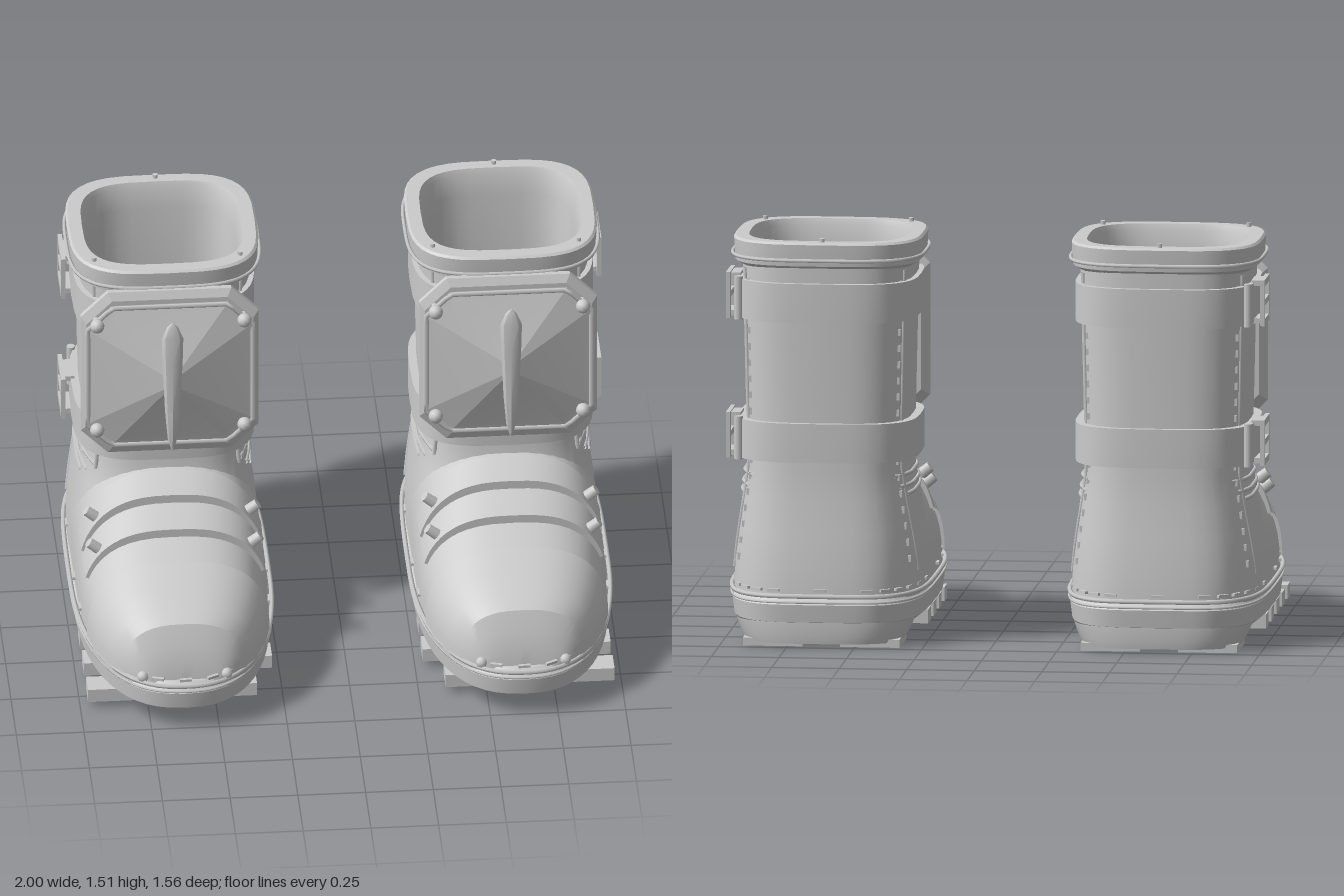
import * as THREE from 'three';
import { toCreasedNormals } from 'three/addons/utils/BufferGeometryUtils.js';

const grey = new THREE.MeshStandardMaterial({ color: 0xcccccc, side: THREE.DoubleSide });
const V = (x, y, z) => new THREE.Vector3(x, y, z);
const pw = (v, e) => Math.sign(v) * Math.abs(v) ** e;

function add(parent, name, geometry, x = 0, y = 0, z = 0) {
  const mesh = new THREE.Mesh(geometry, grey);
  mesh.name = name;
  mesh.position.set(x, y, z);
  parent.add(mesh);
  return mesh;
}

// Skin a list of cross-sections; closed rings or open arches, with optional end caps
function loft(rings, { closed = true, start = false, end = false, hub = null, crease = 0.5 } = {}) {
  const n = rings[0].length, pos = [], idx = [];
  rings.forEach(r => r.forEach(p => pos.push(p.x, p.y, p.z)));
  const m = closed ? n : n - 1;
  for (let j = 0; j < rings.length - 1; j++)
    for (let i = 0; i < m; i++) {
      const a = j * n + i, b = j * n + (i + 1) % n;
      idx.push(a, b, b + n, a, b + n, a + n);
    }
  const cap = (j, flip) => {
    const c = V(0, 0, 0);
    rings[j].forEach(p => c.addScaledVector(p, 1 / n));
    if (hub !== null) c.set(0, hub, rings[j][0].z);
    const k = pos.length / 3;
    pos.push(c.x, c.y, c.z);
    for (let i = 0; i < m; i++) {
      const a = j * n + i, b = j * n + (i + 1) % n;
      idx.push(k, flip ? b : a, flip ? a : b);
    }
  };
  if (start) cap(0, true);
  if (end) cap(rings.length - 1, false);
  const g = new THREE.BufferGeometry();
  g.setAttribute('position', new THREE.Float32BufferAttribute(pos, 3));
  g.setIndex(idx);
  return toCreasedNormals(g, crease);
}

// Rounded-square horizontal ring
function ring(y, hx, z0, z1, n = 3.4, segs = 40) {
  return Array.from({ length: segs }, (_, i) => {
    const t = i / segs * Math.PI * 2;
    return V(hx * pw(Math.cos(t), 2 / n), y, (z0 + z1) / 2 - (z1 - z0) / 2 * pw(Math.sin(t), 2 / n));
  });
}

// Foot outline: rounded toe, squarer heel
function footRing(y, inset, segs = 56) {
  return Array.from({ length: segs }, (_, i) => {
    const t = i / segs * Math.PI * 2, s = -Math.sin(t), e = 2 / (s > 0 ? 2.4 : 4.2);
    return V((0.367 - inset) * pw(Math.cos(t), e), y, (0.772 - inset) * pw(s, e));
  });
}

// Shaft and ankle sections: y, half width, back z, front z
const BODY = [[0.18, 0.352, -0.74, 0.14], [0.3, 0.348, -0.732, 0.1], [0.42, 0.335, -0.715, 0.05],
  [0.54, 0.318, -0.7, -0.01], [0.65, 0.302, -0.69, -0.045], [0.85, 0.305, -0.688, -0.05],
  [1.15, 0.312, -0.688, -0.05], [1.42, 0.318, -0.69, -0.045]];
function bodyAt(y) {
  let k = 0;
  while (k < BODY.length - 2 && y > BODY[k + 1][0]) k++;
  const f = (y - BODY[k][0]) / (BODY[k + 1][0] - BODY[k][0]);
  return BODY[k].map((v, i) => THREE.MathUtils.lerp(v, BODY[k + 1][i], f));
}
function bodyX(y, z) {
  const [, hx, z0, z1] = bodyAt(y), d = Math.abs((z - (z0 + z1) / 2) / ((z1 - z0) / 2));
  return hx * (1 - Math.min(1, d) ** 3.4) ** (1 / 3.4);
}

// Arch across the foot at z with top height h
function arch(z, h, grow = 0, a0 = 0) {
  const d = Math.max(0, z) / 0.74, w = 0.35 * (1 - d ** 2.8) ** (1 / 2.8) + grow;
  return Array.from({ length: 25 }, (_, i) => {
    const t = a0 + i / 24 * (Math.PI - 2 * a0);
    return V(w * pw(Math.cos(t), 2 / 2.7), 0.18 + (h - 0.18) * Math.abs(Math.sin(t)) ** (2 / 2.7), z);
  });
}

function octagon(hx, y0, y1, z, c) {
  return [[hx, y0 + c], [hx, y1 - c], [hx - c, y1], [c - hx, y1], [-hx, y1 - c], [-hx, y0 + c], [c - hx, y0], [hx - c, y0]]
    .map(([x, y]) => V(x, y, z));
}

const tube = (pts, r, closed = false) =>
  new THREE.TubeGeometry(new THREE.CatmullRomCurve3(pts, closed), pts.length * 2, r, 5, closed);

function buckleGeometry() {
  const rect = (S, x0, x1, y0, y1) => {
    const s = new S();
    s.moveTo(x0, y0); s.lineTo(x1, y0); s.lineTo(x1, y1); s.lineTo(x0, y1); s.closePath();
    return s;
  };
  const shape = rect(THREE.Shape, -0.09, 0.09, -0.085, 0.085);
  shape.holes.push(rect(THREE.Path, -0.065, 0.065, -0.06, -0.01), rect(THREE.Path, -0.065, 0.065, 0.012, 0.06));
  return new THREE.ExtrudeGeometry(shape, { depth: 0.016, bevelEnabled: false }).rotateY(Math.PI / 2);
}

function boot(side) {
  const g = new THREE.Group();
  g.name = side > 0 ? 'leftBoot' : 'rightBoot';

  // Sole, rim and welt
  add(g, 'sole', loft([footRing(0.07, 0.045), footRing(0.1, 0.008), footRing(0.165, 0), footRing(0.185, 0.015), footRing(0.2, 0.03)],
    { start: true, end: true }));
  add(g, 'soleRim', tube(footRing(0.197, 0), 0.009, true));
  add(g, 'welt', tube(footRing(0.175, -0.002), 0.005, true));
  const dash = new THREE.BoxGeometry(0.012, 0.01, 0.045);
  const stitchLine = footRing(0.217, 0.012);
  stitchLine.forEach((p, i) => {
    if (i % 2) return;
    const q = stitchLine[(i + 1) % stitchLine.length];
    add(g, 'weltStitch', dash, p.x, p.y, p.z).rotation.y = Math.atan2(q.x - p.x, q.z - p.z);
  });

  // Heel and treads
  add(g, 'heel', loft([ring(0.02, 0.29, -0.765, -0.35, 3), ring(0.05, 0.31, -0.77, -0.31, 3), ring(0.1, 0.33, -0.77, -0.28, 3)], { start: true }));
  for (const s of [-1, 1]) {
    add(g, 'heelPlate', new THREE.BoxGeometry(0.22, 0.03, 0.245), s * 0.18, 0.018, -0.588);
    for (let i = 0; i < 5; i++) {
      const inward = s !== side && i === 0 ? 0.07 : 0;
      add(g, 'tread', new THREE.BoxGeometry(0.18, 0.052, 0.093), s * (0.257 - inward), 0.054, 0.535 - i * 0.186);
    }
  }

  // Foot: vamp, toe cap and two overlapping bands
  add(g, 'vamp', loft([arch(-0.32, 0.66), arch(-0.1, 0.655), arch(0.01, 0.632), arch(0.15, 0.575), arch(0.26, 0.528), arch(0.45, 0.455)], { closed: false }));
  add(g, 'toeCap', loft([[0.4, 0.505], [0.5, 0.467], [0.6, 0.43], [0.665, 0.4], [0.695, 0.33], [0.715, 0.27], [0.73, 0.19]]
    .map(([z, h]) => arch(z, h, 0.012)), { closed: false, start: true, end: true, hub: 0.18 }));
  for (const [za, zb, ha, hb] of [[0.01, 0.12, 0.667, 0.622], [0.15, 0.26, 0.608, 0.56]])
    add(g, 'instepBand', loft([arch(za, ha, 0.008, 0.4), arch(zb, hb, 0.008, 0.4)], { closed: false, start: true, end: true, hub: 0.2 }));
  for (const s of [-1, 1]) {
    for (const [y, z] of [[0.49, 0.235], [0.545, 0.1]]) {
      const stud = add(g, 'bandStud', new THREE.CylinderGeometry(0.02, 0.022, 0.045, 8), s * 0.3, y, z);
      stud.rotation.z = -s * 0.9;
    }
    add(g, 'toeStud', new THREE.SphereGeometry(0.022, 8, 6), s * 0.155, 0.212, 0.715);
  }

  // Shaft, collar and lining
  add(g, 'shaft', loft(BODY.map(([y, hx, z0, z1]) => ring(y, hx, z0, z1))));
  const c = (y, o) => ring(y, 0.35 - o, -0.708 + o, -0.022 - o);
  add(g, 'collar', loft([c(1.395, 0.035), c(1.415, 0.005), c(1.44, 0.003), c(1.495, 0), c(1.503, 0.008), c(1.503, 0.055),
    c(1.48, 0.064), c(1.4, 0.075), c(1.1, 0.085), c(0.75, 0.085)], { end: true }));
  add(g, 'collarPiping', tube(c(1.437, -0.004), 0.007, true));
  for (const [x, z] of [[-0.27, -0.12], [0.27, -0.12], [0, -0.68]])
    add(g, 'collarStud', new THREE.CylinderGeometry(0.01, 0.01, 0.02, 6), x, 1.507, z);

  // Straps with outer-side buckles and hinge pins
  for (const y of [1.28, 0.76]) {
    const r = (dy, o) => ring(y + dy, 0.335 - o, -0.71 + o, -0.03 - o);
    add(g, 'strap', loft([r(-0.075, 0.03), r(-0.075, 0), r(0.07, 0), r(0.07, 0.03)]));
    add(g, 'buckle', buckleGeometry(), side * 0.364 - 0.008, y, -0.446);
    for (const dy of [-0.07, 0.07])
      add(g, 'buckleTab', new THREE.BoxGeometry(0.04, 0.02, 0.12), side * 0.34, y + dy, -0.446);
    add(g, 'hingePin', new THREE.CylinderGeometry(0.016, 0.016, 0.16, 8), side * 0.318, y, -0.597);
  }

  // Seams, stitching and ankle creases
  for (const s of [-1, 1]) {
    const seam = pts => tube(pts.map(([y, z]) => V(s * bodyX(y, z), y, z)), 0.008);
    add(g, 'frontSeam', seam([[1.4, -0.118], [1.1, -0.115], [0.8, -0.112], [0.61, -0.11]]));
    add(g, 'rearSeam', seam([[1.39, -0.578], [1, -0.575], [0.65, -0.57], [0.5, -0.56], [0.38, -0.54], [0.27, -0.522]]));
    for (let y = 0.32; y < 1.4; y += 0.06)
      add(g, 'sideStitch', new THREE.BoxGeometry(0.012, 0.025, 0.012), s * bodyX(y, -0.6), y, -0.6);
    for (const [y, a, b] of [[0.555, -0.2, -0.56], [0.585, -0.15, -0.6], [0.625, -0.12, -0.62]]) {
      const pts = [0, 0.25, 0.5, 0.75, 1].map(f => {
        const z = a + (b - a) * f;
        return V(s * (bodyX(y, z) + 0.002), y, z);
      });
      add(g, 'ankleCrease', tube(pts, 0.008));
    }
  }

  // Shin guard: stepped octagonal plate, pointed face, corner bolts and ridge
  const guard = new THREE.Group();
  guard.name = 'shinGuard';
  g.add(guard);
  add(guard, 'backPlate', loft([octagon(0.3, 0.78, 1.4, -0.06, 0.09), octagon(0.328, 0.745, 1.435, -0.02, 0.1),
    octagon(0.328, 0.745, 1.435, 0, 0.1), octagon(0.308, 0.775, 1.405, 0.015, 0.095)], { start: true, end: true, crease: 0.2 }));
  add(guard, 'facePlate', loft([octagon(0.305, 0.795, 1.385, 0.01, 0.09), octagon(0.305, 0.795, 1.385, 0.03, 0.09),
    octagon(0.28, 0.82, 1.365, 0.036, 0.085), octagon(0.01, 1.09, 1.13, 0.125, 0.003)], { end: true, crease: 0.1 }));
  add(guard, 'plateTrim', new THREE.TubeGeometry(octagonPath(0.305, 0.795, 1.385, 0.03, 0.09), 64, 0.01, 5, true));
  for (const x of [-0.272, 0.272])
    for (const y of [0.878, 1.328]) {
      add(guard, 'cornerBolt', new THREE.SphereGeometry(0.027, 10, 8), x, y, 0.058);
      add(guard, 'boltShank', new THREE.CylinderGeometry(0.014, 0.014, 0.06, 8).rotateX(Math.PI / 2), x, y, 0.025);
    }
  const ridge = [[0.83, 0.004, 0.132, 0.14], [0.88, 0.018, 0.124, 0.15], [1, 0.028, 0.12, 0.157], [1.2, 0.037, 0.12, 0.157],
    [1.31, 0.04, 0.123, 0.152], [1.36, 0.02, 0.128, 0.145], [1.375, 0.003, 0.133, 0.138]];
  add(guard, 'ridge', loft(ridge.map(([y, hx, z0, z1]) => ring(y, hx, z0, z1, 1.9, 8)), { start: true, end: true }));
  return g;
}

function octagonPath(...args) {
  const path = new THREE.CurvePath(), pts = octagon(...args);
  pts.forEach((p, i) => path.add(new THREE.LineCurve3(p, pts[(i + 1) % pts.length])));
  return path;
}

export function createModel() {
  const model = new THREE.Group();
  model.name = 'boots';
  for (const side of [-1, 1]) {
    const b = boot(side);
    b.position.x = side * 0.625;
    model.add(b);
  }
  return model;
}
